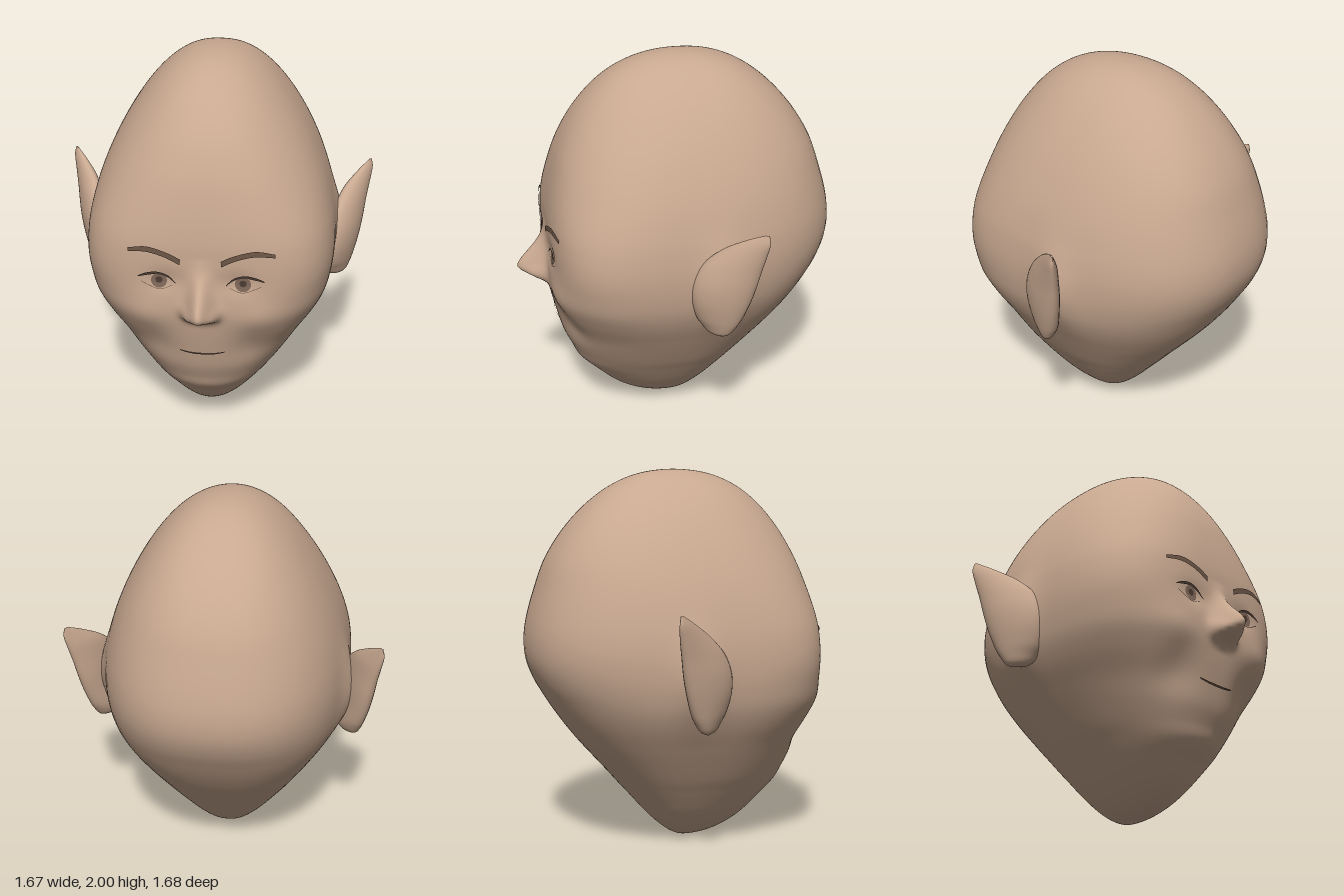
import * as THREE from 'three';

// Smooth interpolation of rows [key, a, b, ...] sorted by key
function sample(rows, k) {
  let i = 0;
  while (i < rows.length - 2 && k > rows[i + 1][0]) i++;
  const p0 = rows[Math.max(i - 1, 0)], p1 = rows[i], p2 = rows[i + 1], p3 = rows[Math.min(i + 2, rows.length - 1)];
  const h = p2[0] - p1[0], t = THREE.MathUtils.clamp((k - p1[0]) / h, 0, 1);
  const t2 = t * t, t3 = t2 * t;
  return p1.slice(1).map((_, n) => {
    const c = n + 1;
    const m1 = (p2[c] - p0[c]) / (p2[0] - p0[0]) * h, m2 = (p3[c] - p1[c]) / (p3[0] - p1[0]) * h;
    return (2 * t3 - 3 * t2 + 1) * p1[c] + (t3 - 2 * t2 + t) * m1 + (3 * t2 - 2 * t3) * p2[c] + (t3 - t2) * m2;
  });
}

// Closed loops stacked upwards; point(v, u) with v in 0..1 and u in -1..1
function loft(rows, segs, point) {
  const pos = [], idx = [];
  for (let i = 0; i <= rows; i++) for (let j = 0; j < segs; j++) pos.push(...point(i / rows, -1 + 2 * j / segs));
  for (let i = 0; i < rows; i++) for (let j = 0; j < segs; j++) {
    const k = (j + 1) % segs, a = i * segs + j, b = i * segs + k;
    idx.push(a, b, a + segs, b, b + segs, a + segs);
  }
  return finish(pos, idx);
}

function finish(pos, idx) {
  const g = new THREE.BufferGeometry();
  g.setAttribute('position', new THREE.Float32BufferAttribute(pos, 3));
  g.setIndex(idx);
  g.computeVertexNormals();
  return g;
}

// Head sections: height, half width, front z, back z, widest z, front squareness
const byAngle = y => Math.acos(THREE.MathUtils.clamp(1 - y, -1, 1));
const HEAD = [
  [0, 0, 0.02, 0.02, 0.02, 2], [0.025, 0.085, 0.185, -0.06, 0.04, 2], [0.1, 0.175, 0.335, -0.155, 0.06, 2],
  [0.22, 0.275, 0.46, -0.265, 0.06, 2.1], [0.31, 0.34, 0.545, -0.345, 0.06, 2.1], [0.38, 0.39, 0.577, -0.405, 0.06, 2.15],
  [0.47, 0.447, 0.617, -0.485, 0.06, 2.2], [0.58, 0.513, 0.647, -0.58, 0.06, 2.3], [0.7, 0.58, 0.675, -0.67, 0.06, 2.6],
  [0.8, 0.62, 0.692, -0.735, 0.06, 2.9], [0.9, 0.64, 0.695, -0.793, 0.06, 3.1], [1, 0.648, 0.692, -0.83, 0.06, 3.3],
  [1.1, 0.645, 0.69, -0.84, 0.05, 3.3], [1.21, 0.63, 0.684, -0.827, 0.04, 3.1], [1.37, 0.587, 0.655, -0.783, 0.02, 2.7],
  [1.54, 0.515, 0.604, -0.72, 0, 2.4], [1.72, 0.41, 0.508, -0.6, -0.02, 2.2], [1.885, 0.272, 0.35, -0.42, -0.03, 2.1],
  [1.975, 0.135, 0.165, -0.23, -0.035, 2], [2, 0, -0.035, -0.035, -0.035, 2],
].map(r => [byAngle(r[0]), ...r.slice(1)]);

// Nose: height, projection, half width
const NOSE = [
  [0.75, 0, 0.06], [0.785, 0.022, 0.065], [0.815, 0.085, 0.068], [0.845, 0.138, 0.068], [0.87, 0.15, 0.066],
  [0.9, 0.135, 0.06], [0.95, 0.092, 0.053], [1, 0.05, 0.05], [1.06, 0.015, 0.05], [1.13, 0, 0.05],
];

const blob = (x, y, cx, cy, sx, sy) => Math.exp(-(((x - cx) / sx) ** 2) - ((y - cy) / sy) ** 2);

// Facial relief added to the front of the head
function relief(x, y) {
  const ax = Math.abs(x);
  let z = 0.03 * blob(ax, y, 0.065, 0.83, 0.032, 0.035)
    - 0.015 * blob(ax, y, 0.18, 1.0, 0.09, 0.06)
    + 0.015 * blob(ax, y, 0.3, 0.8, 0.12, 0.1)
    - 0.018 * blob(ax, y, 0.24, 0.6, 0.1, 0.12);
  if (y > 0.75 && y < 1.13) {
    const [h, s] = sample(NOSE, y);
    z += h * Math.exp(-((x / s) ** 2));
  }
  return z;
}

function headPoint(v, u) {
  const phi = v * Math.PI, y = 1 - Math.cos(phi);
  const [w, f, b, c, n] = sample(HEAD, phi);
  const a = Math.PI * (0.45 * u + 0.55 * u ** 3), s = Math.sin(a), k = Math.cos(a);
  const e = k > 0 ? n : 2.35, depth = Math.max(k > 0 ? f - c : c - b, 1e-4);
  const r = (Math.abs(s / Math.max(w, 1e-4)) ** e + Math.abs(k / depth) ** e) ** (-1 / e);
  let x = r * s, z = c + r * k;
  if (k > 0) z += relief(x, y) * Math.min(1, k * 4);
  // swelling where the ears grow out
  x += Math.sign(s) * 0.045 * blob(z, y, -0.13, 0.97, 0.11, 0.2) * Math.min(1, Math.abs(s) * 2);
  return [x, y, z];
}

// Height of the face above z = 0 at a given x, y
function faceZ(x, y) {
  const [w, f, , c, n] = sample(HEAD, byAngle(y));
  return c + (f - c) * (1 - Math.min(1, Math.abs(x) / w) ** n) ** (1 / n) + relief(x, y);
}

// Ear sections: height, front edge x z, rim x z, half thickness
const EAR = [
  [0.695, 0.66, -0.08, 0.685, -0.1, 0.004], [0.71, 0.625, -0.045, 0.705, -0.13, 0.03], [0.75, 0.605, -0.015, 0.72, -0.16, 0.05],
  [0.8, 0.61, 0.015, 0.73, -0.19, 0.06], [0.9, 0.625, 0.04, 0.752, -0.225, 0.065], [1, 0.632, 0.035, 0.772, -0.25, 0.065],
  [1.1, 0.645, -0.01, 0.793, -0.268, 0.055], [1.19, 0.685, -0.1, 0.815, -0.285, 0.04], [1.26, 0.755, -0.2, 0.83, -0.295, 0.02],
  [1.305, 0.815, -0.275, 0.823, -0.292, 0.003],
];

function earPoint(side) {
  return (v, u) => {
    const y = THREE.MathUtils.lerp(0.695, 1.305, (1 - Math.cos(v * Math.PI)) / 2);
    const [ax, az, rx, rz, t] = sample(EAR, y);
    const ux = (rx - ax) / 2, uz = (rz - az) / 2, len = Math.hypot(ux, uz);
    const c = Math.cos(u * Math.PI * side), s = Math.sin(u * Math.PI * side) * t / len;
    return [side * ((ax + rx) / 2 + ux * c + uz * s), y, (az + rz) / 2 + uz * c - ux * s];
  };
}

// Painted strip between an upper and a lower curve, laid on the face
function strip(upper, lower, side, lift) {
  const curve = p => new THREE.SplineCurve(p.map(q => new THREE.Vector2(...q)));
  const top = curve(upper), low = curve(lower), pos = [], idx = [], N = 24, M = 3;
  for (let i = 0; i <= N; i++) for (let j = 0; j <= M; j++) {
    const p = low.getPoint(i / N).lerp(top.getPoint(i / N), j / M);
    pos.push(p.x * side, p.y, faceZ(p.x, p.y) + lift);
    if (i < N && j < M) {
      const a = i * (M + 1) + j, b = a + M + 1;
      if (side > 0) idx.push(a, b, a + 1, b, b + 1, a + 1);
      else idx.push(a, a + 1, b, b, a + 1, b + 1);
    }
  }
  return finish(pos, idx);
}

// Round patch laid on the face
function disc(cx, cy, r, lift) {
  const g = new THREE.CircleGeometry(r, 28).translate(cx, cy, 0), p = g.attributes.position;
  for (let i = 0; i < p.count; i++) p.setZ(i, faceZ(p.getX(i), p.getY(i)) + lift);
  g.computeVertexNormals();
  return g;
}

export function createModel() {
  const group = new THREE.Group();
  const material = (name, color, side = THREE.DoubleSide) => {
    const m = new THREE.MeshStandardMaterial({ color, side });
    m.name = name;
    return m;
  };
  const skin = material('skin', 0xc8a890, THREE.FrontSide);
  const brown = material('dark brown', 0x6b5546);
  const iris = material('iris brown', 0x80685a);
  const dark = material('pupil and line', 0x4c3c32);
  const add = (name, geometry, mat) => {
    const m = new THREE.Mesh(geometry, mat);
    m.name = name;
    group.add(m);
  };

  add('head', loft(220, 180, headPoint), skin);

  for (const side of [1, -1]) {
    const label = side > 0 ? 'left' : 'right';
    add(label + 'Ear', loft(48, 32, earPoint(side)), skin);
    add(label + 'Eyebrow', strip(
      [[0.1, 1.13], [0.17, 1.163], [0.27, 1.185], [0.365, 1.165]],
      [[0.103, 1.1], [0.18, 1.137], [0.27, 1.157], [0.365, 1.147]], side, 0.009), brown);
    add(label + 'UpperLid', strip(
      [[0.125, 0.995], [0.165, 1.035], [0.22, 1.052], [0.275, 1.042], [0.315, 1.022]],
      [[0.125, 0.99], [0.167, 1.024], [0.22, 1.037], [0.272, 1.029], [0.315, 1.017]], side, 0.008), dark);
    add(label + 'LowerLid', strip(
      [[0.14, 0.981], [0.21, 0.958], [0.3, 0.993]],
      [[0.14, 0.979], [0.21, 0.955], [0.3, 0.99]], side, 0.005), brown);
    add(label + 'Iris', disc(side * 0.209, 1.001, 0.04, 0.004), iris);
    add(label + 'Pupil', disc(side * 0.209, 1.005, 0.018, 0.006), dark);
  }

  // Mouth line
  add('mouth', strip(
    [[-0.115, 0.586], [-0.06, 0.579], [0, 0.577], [0.06, 0.579], [0.115, 0.586]],
    [[-0.115, 0.58], [-0.06, 0.569], [0, 0.566], [0.06, 0.569], [0.115, 0.58]], 1, 0.006), dark);
  return group;
}
